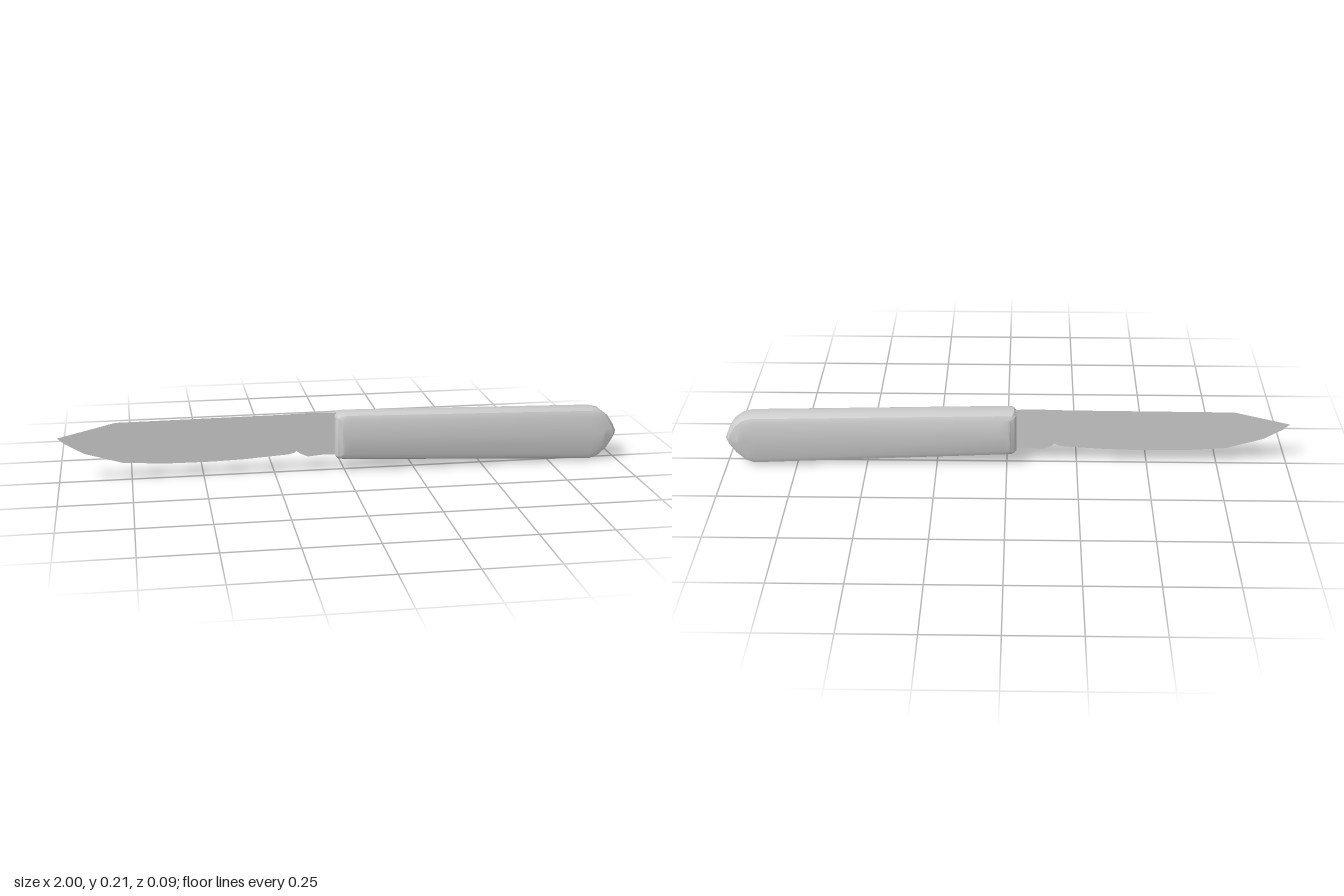
import * as THREE from 'three';
import { toCreasedNormals } from 'three/addons/utils/BufferGeometryUtils.js';

const material = () => new THREE.MeshStandardMaterial({ color: 0xcccccc, side: THREE.DoubleSide });

// Flat sheet blade with a clipped point and a finger notch near the handle
function makeBlade() {
  const outline = [
    [0.02, 0.2], [-0.04, 0.211], [-0.1, 0.213], [-0.22, 0.21], [-0.8, 0.207], [-1, 0.16],
    [-0.975, 0.138], [-0.91, 0.1], [-0.78, 0.061], [-0.63, 0.051], [-0.47, 0.05], [-0.36, 0.053],
    [-0.2, 0.063], [-0.18, 0.068], [-0.17, 0.074], [-0.155, 0.063], [-0.13, 0.052], [-0.08, 0.056],
    [0.02, 0.054],
  ];
  const shape = new THREE.Shape(outline.map(([x, y]) => new THREE.Vector2(x, y)));
  const mesh = new THREE.Mesh(new THREE.ShapeGeometry(shape), material());
  mesh.name = 'blade';
  return mesh;
}

// Handle: one outline stacked through z, drawn inward layer by layer to round its edges
function makeHandle() {
  // x, y, inward x, inward y (counter-clockwise from the front)
  const outline = [
    [-0.034, 0.056, 0.8, 0.3], [-0.025, 0.046, 0.8, 0.8], [0.0, 0.042, 0.6, 1],
    [0.905, 0.0, -0.3, 1], [0.938, 0.012, -0.7, 0.9], [0.968, 0.04, -1.1, 0.6],
    [0.99, 0.075, -1.4, 0.2], [1, 0.1, -1.45, 0], [0.99, 0.125, -1.4, -0.2],
    [0.968, 0.16, -1.1, -0.6], [0.938, 0.184, -0.7, -0.9], [0.905, 0.193, -0.3, -1],
    [0.0, 0.214, 0.6, -1], [-0.025, 0.211, 0.8, -0.8], [-0.034, 0.2, 0.8, -0.3],
  ];
  const half = [[0.02, 0], [0.037, 0.008], [0.045, 0.026]];
  const layers = [...half.map(([z, d]) => [-z, d]).reverse(), ...half];
  const n = outline.length;
  const midY = (x) => 0.128 - 0.029 * x;
  const pos = [], idx = [];
  const addRing = (z, place) => outline.forEach((p) => pos.push(...place(p), z));
  const inset = (d) => ([x, y, ix, iy]) => [x + ix * d, y + iy * d];
  // Slightly crowned side faces close on the centre line
  const crown = ([x, , ix]) => {
    const cx = x + ix * 0.03;
    return [cx, midY(cx)];
  };

  addRing(-0.0475, crown);
  layers.forEach(([z, d]) => addRing(z, inset(d)));
  addRing(0.0475, crown);

  for (let r = 0; r < layers.length + 1; r++) {
    for (let i = 0; i < n; i++) {
      const a = r * n + i, b = r * n + (i + 1) % n;
      idx.push(a, b, b + n, a, b + n, a + n);
    }
  }
  const geometry = new THREE.BufferGeometry();
  geometry.setAttribute('position', new THREE.Float32BufferAttribute(pos, 3));
  geometry.setIndex(idx);
  const mesh = new THREE.Mesh(toCreasedNormals(geometry, 0.65), material());
  mesh.name = 'handle';
  return mesh;
}

export function createModel() {
  const model = new THREE.Group();
  model.name = 'pocketKnife';
  model.add(makeBlade(), makeHandle());
  return model;
}
